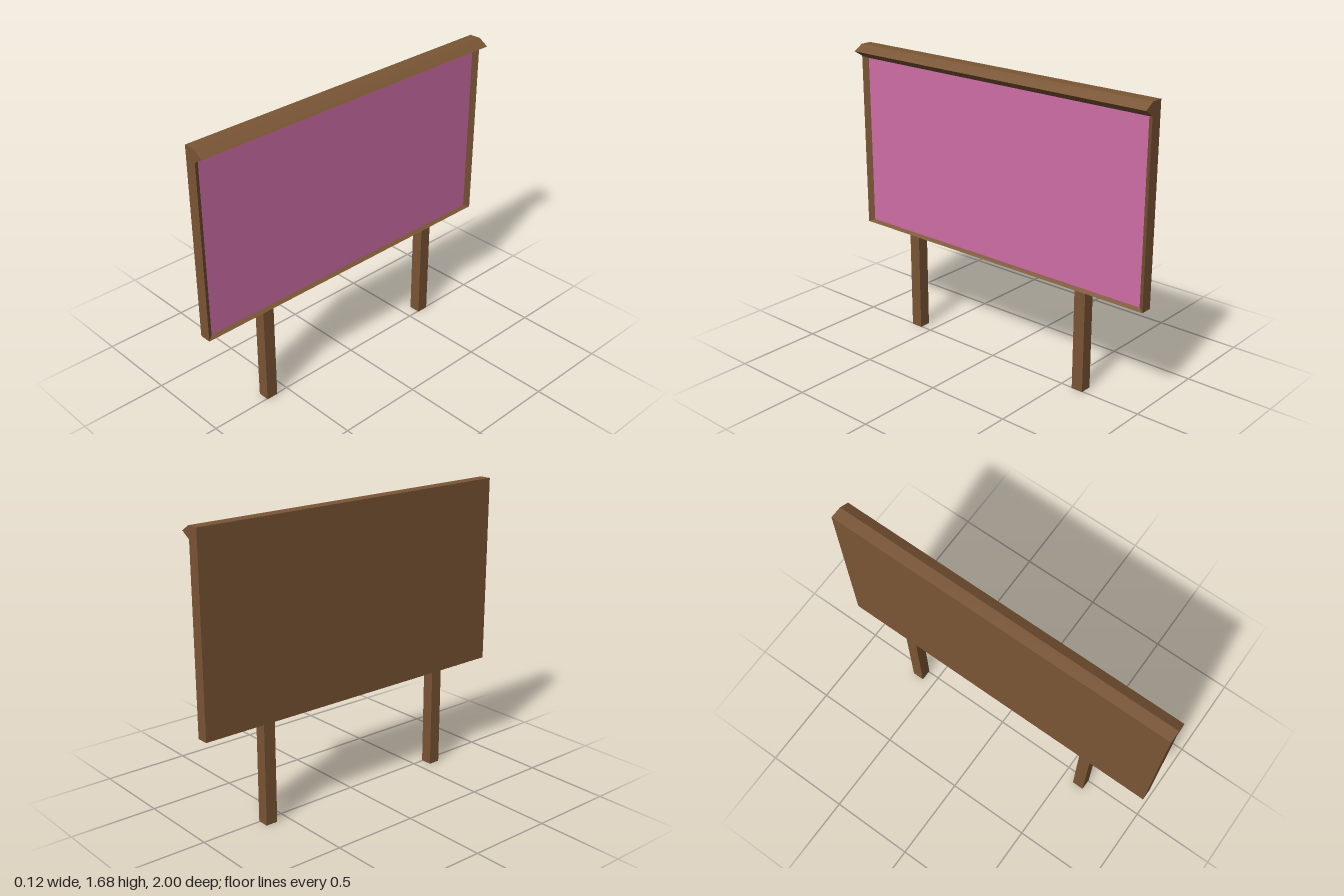
import * as THREE from 'three';

const wood = new THREE.MeshStandardMaterial({ color: 0x7a5535 });
wood.name = 'brown wood';
const pink = new THREE.MeshStandardMaterial({ color: 0xcf6ea7 });
pink.name = 'pink panel';

const BACK = -0.063, FRONT = 0.005, EAVE = 0.062, PANEL = -0.017;
const BOTTOM = 0.583, RAIL = 1.61, TOP = 1.68;

// Rectangular loop at depth x, counter-clockwise seen from +x
const loop = (x, z, y0, y1) => [[x, y0, z], [x, y0, -z], [x, y1, -z], [x, y1, z]];

// Flat-shaded geometry from a list of four-cornered faces
function quads(faces) {
  const geometry = new THREE.BufferGeometry();
  const points = faces.flatMap(([a, b, c, d]) => [a, b, c, a, c, d]).flat();
  geometry.setAttribute('position', new THREE.Float32BufferAttribute(points, 3));
  geometry.computeVertexNormals();
  return geometry;
}

// Band of faces joining a rear loop to the next loop
const band = (a, b) => a.map((p, i) => {
  const j = (i + 1) % 4;
  return [p, a[j], b[j], b[i]];
});

export function createModel() {
  const model = new THREE.Group();
  model.name = 'billboard';
  const add = (name, geometry, material) => {
    const mesh = new THREE.Mesh(geometry, material);
    mesh.name = name;
    model.add(mesh);
    return mesh;
  };

  // Board: flat back, straight sides and a bevel sloping in to the panel
  const rear = loop(BACK, 1, BOTTOM, RAIL);
  const rim = loop(FRONT, 1, BOTTOM, RAIL);
  const inner = loop(PANEL, 0.968, 0.597, 1.598);
  add('boardFrame', quads([[...rear].reverse(), ...band(rear, rim), ...band(rim, inner)]), wood);

  // Recessed display face
  add('displayPanel', quads([inner]), pink);

  // Top rail with a pointed eave overhanging the panel
  const profile = new THREE.Shape([
    [BACK, RAIL], [FRONT, RAIL], [EAVE, 1.645], [FRONT, TOP], [BACK, TOP],
  ].map(([x, y]) => new THREE.Vector2(x, y)));
  const rail = new THREE.ExtrudeGeometry(profile, { depth: 2, bevelEnabled: false });
  rail.translate(0, 0, -1);
  add('topRail', rail, wood);

  // Square posts
  for (const side of [1, -1]) {
    const post = add(side > 0 ? 'frontPost' : 'backPost',
      new THREE.BoxGeometry(FRONT - BACK, BOTTOM, 0.07), wood);
    post.position.set((FRONT + BACK) / 2, BOTTOM / 2, side * 0.608);
  }
  return model;
}
